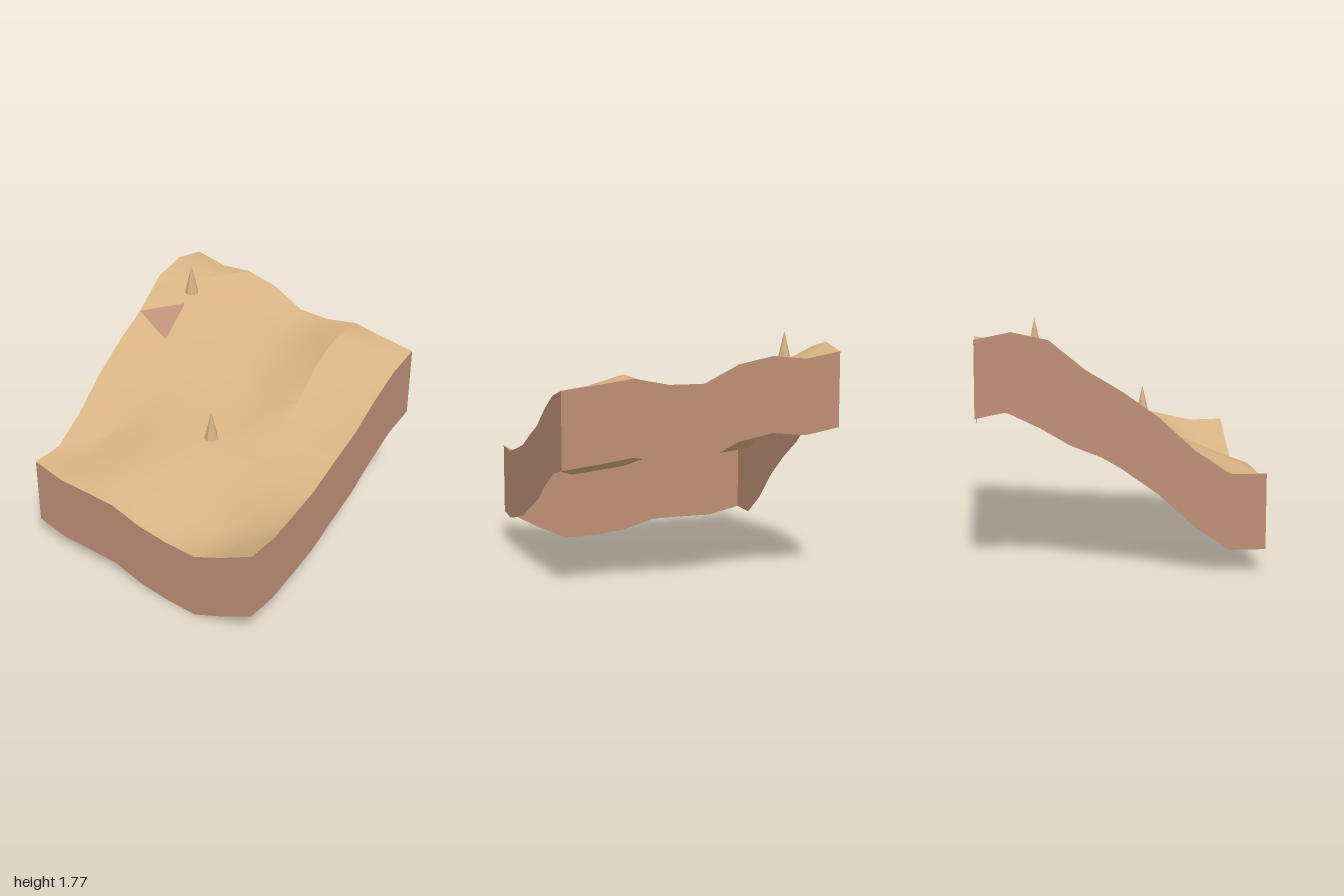
import * as THREE from 'three';
import { toCreasedNormals } from 'three/addons/utils/BufferGeometryUtils.js';

const CELLS = 8, STEP = 0.25, DEPTH = 0.535;

// Ground heights: rows run back to front, columns run from -x to +x
const HEIGHTS = [
  [1.65, 1.605, 1.63, 1.58, 1.455, 1.455, 1.505, 1.47, 1.44],
  [1.70, 1.60, 1.50, 1.43, 1.38, 1.42, 1.51, 1.44, 1.38],
  [1.645, 1.48, 1.39, 1.32, 1.27, 1.30, 1.40, 1.29, 1.26],
  [1.44, 1.27, 1.23, 1.18, 1.13, 1.12, 1.19, 1.09, 1.11],
  [1.29, 1.13, 1.10, 1.08, 1.05, 1.03, 1.07, 1.03, 1.01],
  [1.11, 0.96, 0.96, 0.96, 0.96, 0.95, 0.93, 0.91, 0.90],
  [0.88, 0.76, 0.82, 0.84, 0.82, 0.75, 0.73, 0.78, 0.835],
  [0.71, 0.68, 0.75, 0.74, 0.68, 0.61, 0.565, 0.65, 0.78],
  [0.71, 0.65, 0.65, 0.645, 0.57, 0.54, 0.535, 0.65, 0.785],
];

export function createModel() {
  const sand = new THREE.MeshStandardMaterial({ color: 0xd6b282, side: THREE.DoubleSide });
  sand.name = 'sand';
  const clay = new THREE.MeshStandardMaterial({ color: 0xbe8f76, side: THREE.DoubleSide });
  clay.name = 'clay';
  const spireSand = sand.clone();
  spireSand.name = 'spireSand';
  spireSand.flatShading = true;

  const model = new THREE.Group();
  const add = (name, geometry, material) => {
    const mesh = new THREE.Mesh(geometry, material);
    mesh.name = name;
    model.add(mesh);
    return mesh;
  };

  // Hillside: a grid lifted to the heights, creased only at its sharpest folds
  const grid = new THREE.PlaneGeometry(2, 2, CELLS, CELLS).rotateX(-Math.PI / 2);
  HEIGHTS.flat().forEach((h, i) => grid.attributes.position.setY(i, h));
  const ground = toCreasedNormals(grid, Math.PI / 6);
  // One bare clay triangle on the upper slope
  const bare = (2 * CELLS) * 6 + 3;
  ground.clearGroups();
  ground.addGroup(0, bare, 0);
  ground.addGroup(bare, 3, 1);
  ground.addGroup(bare + 3, ground.attributes.position.count - bare - 3, 0);
  add('hillside', ground, [sand, clay]);

  // Side walls: strips of even depth under each edge, open below
  const wall = (name, cellAt) => {
    const positions = [], index = [];
    for (let i = 0; i <= CELLS; i++) {
      const [col, row] = cellAt(i);
      const x = col * STEP - 1, z = row * STEP - 1, y = HEIGHTS[row][col];
      positions.push(x, y, z, x, y - DEPTH, z);
      if (i < CELLS) {
        const a = i * 2;
        index.push(a, a + 1, a + 2, a + 1, a + 3, a + 2);
      }
    }
    const g = new THREE.BufferGeometry();
    g.setAttribute('position', new THREE.Float32BufferAttribute(positions, 3));
    g.setIndex(index);
    g.computeVertexNormals();
    add(name, g, clay);
  };
  wall('frontWall', i => [i, CELLS]);
  wall('leftWall', i => [CELLS, CELLS - i]);
  wall('backWall', i => [CELLS - i, 0]);
  wall('rightWall', i => [0, i]);

  // Pointed spires
  for (const [name, x, y, z] of [['upperSpire', -0.75, 1.542, -0.585], ['lowerSpire', 0.08, 0.96, 0.25]]) {
    const spire = add(name, new THREE.ConeGeometry(0.053, 0.23, 7), spireSand);
    spire.position.set(x, y + 0.115, z);
  }
  return model;
}
